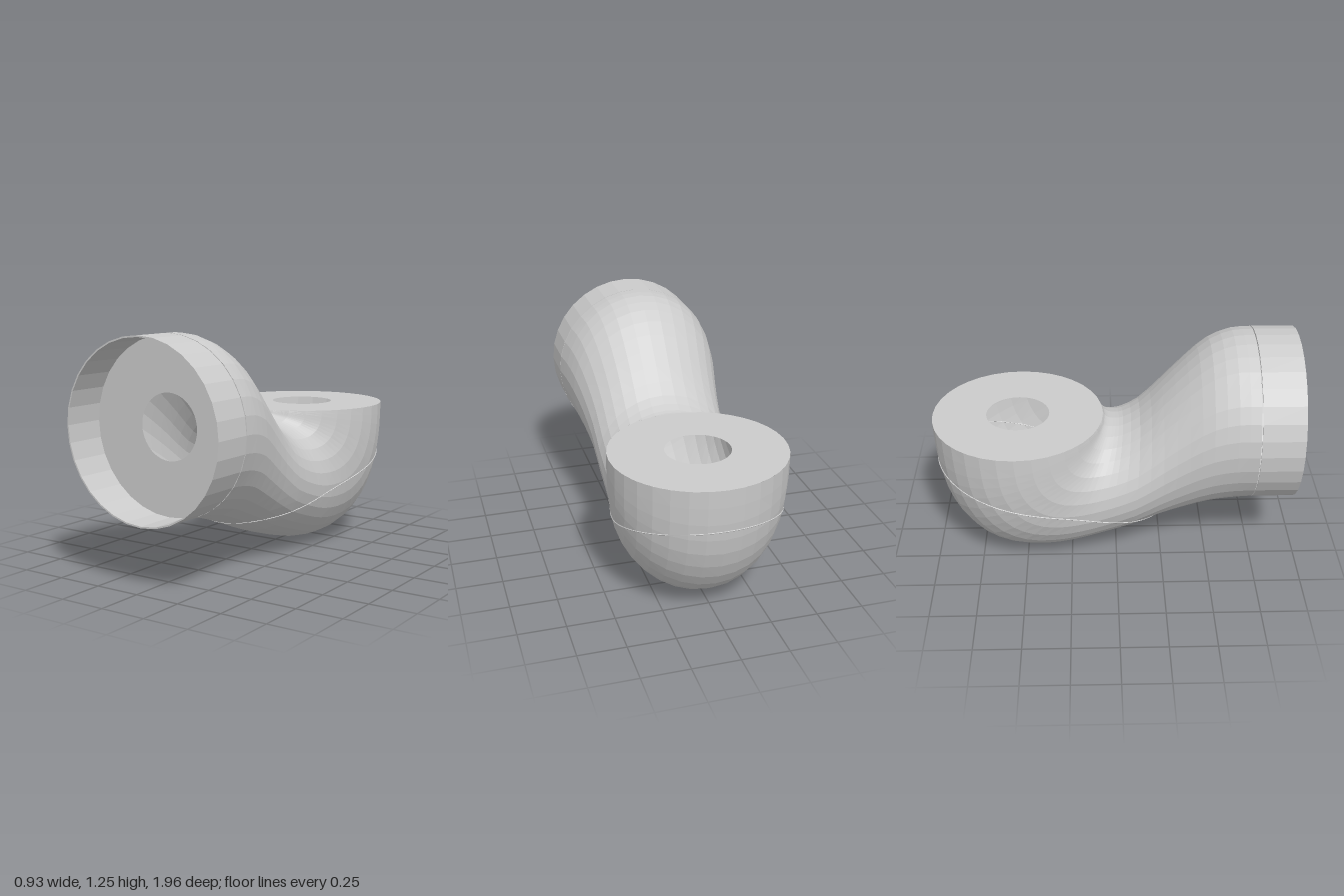
import * as THREE from 'three';

const SIDES = 32, STEPS = 28;
const mat = new THREE.MeshStandardMaterial({ color: 0xcccccc, flatShading: true, side: THREE.DoubleSide });

// Pipe sections: inner-bend z,y / outer-bend z,y / half width
const sections = [
  [0.73, 1.255, 0.73, 0.325, 0.465],
  [0.62, 1.25, 0.62, 0.31, 0.45],
  [0.5, 1.2, 0.5, 0.285, 0.43],
  [0.38, 1.09, 0.38, 0.245, 0.405],
  [0.25, 0.945, 0.24, 0.195, 0.385],
  [0.13, 0.815, 0.08, 0.13, 0.38],
  [0.04, 0.762, -0.1, 0.072, 0.38],
  [0, 0.755, -0.28, 0.02, 0.385],
  [-0.03, 0.757, -0.45, 0.003, 0.4],
  [-0.045, 0.763, -0.63, 0.03, 0.42],
  [-0.055, 0.77, -0.78, 0.115, 0.438],
  [-0.06, 0.775, -0.89, 0.25, 0.452],
  [-0.063, 0.78, -0.96, 0.42, 0.461],
  [-0.066, 0.785, -0.99, 0.6, 0.465],
  [-0.07, 0.79, -1, 0.79, 0.465],
];
const inner = new THREE.CatmullRomCurve3(sections.map(s => new THREE.Vector3(s[4], s[1], s[0])));
const outer = new THREE.CatmullRomCurve3(sections.map(s => new THREE.Vector3(s[4], s[3], s[2])));

// Point on the elbow skin: t runs along the pipe, a runs around it
function skin(t, a) {
  const top = inner.getPoint(t), bottom = outer.getPoint(t);
  const p = top.clone().add(bottom).multiplyScalar(0.5);
  const c = Math.cos(a);
  return new THREE.Vector3(
    top.x * Math.sin(a),
    p.y + (top.y - p.y) * c,
    p.z + (top.z - p.z) * c
  );
}

function elbowGeometry() {
  const pos = [], index = [];
  for (let i = 0; i <= STEPS; i++) {
    for (let j = 0; j < SIDES; j++) {
      pos.push(...skin(i / STEPS, (j / SIDES) * Math.PI * 2).toArray());
    }
  }
  for (let i = 0; i < STEPS; i++) {
    for (let j = 0; j < SIDES; j++) {
      const k = (j + 1) % SIDES;
      const a = i * SIDES + j, b = i * SIDES + k;
      index.push(a, b, a + SIDES, b, b + SIDES, a + SIDES);
    }
  }
  const g = new THREE.BufferGeometry();
  g.setAttribute('position', new THREE.Float32BufferAttribute(pos, 3));
  g.setIndex(index);
  g.computeVertexNormals();
  return g;
}

// Loop where the sloping parting plane meets the skin
function seamCurve() {
  const height = p => p.y - (0.215 + (0.3 - p.z) * 0.267);
  const front = [], back = [];
  for (let j = -20; j <= 20; j++) {
    const a = Math.PI + (j / 20) * 1.7;
    const hits = [];
    let last = skin(0, a);
    for (let i = 1; i <= 80; i++) {
      const p = skin(i / 80, a);
      const h0 = height(last), h1 = height(p);
      if (h0 * h1 < 0) hits.push(last.clone().lerp(p, h0 / (h0 - h1)));
      last = p;
    }
    if (hits.length > 1) {
      front.push(hits[0]);
      back.unshift(hits[hits.length - 1]);
    }
  }
  return new THREE.CatmullRomCurve3([...front, ...back], true);
}

export function createModel() {
  const group = new THREE.Group();
  const add = (name, geometry) => {
    const mesh = new THREE.Mesh(geometry, mat);
    mesh.name = name;
    group.add(mesh);
    return mesh;
  };

  add('elbowBody', elbowGeometry());
  add('partingSeam', new THREE.TubeGeometry(seamCurve(), 100, 0.003, 4, true));

  // Thin open collar around the front mouth
  const collar = add('frontCollar', new THREE.LatheGeometry([
    new THREE.Vector2(0.457, 0.735),
    new THREE.Vector2(0.465, 0.735),
    new THREE.Vector2(0.465, 0.96),
    new THREE.Vector2(0.457, 0.96),
    new THREE.Vector2(0.457, 0.735),
  ], SIDES));
  collar.rotation.x = Math.PI / 2;
  collar.position.y = 0.79;

  // Flat end plates with a central hole
  const plate = () => {
    const shape = new THREE.Shape().absarc(0, 0, 0.465, 0, Math.PI * 2);
    shape.holes.push(new THREE.Path().absarc(0, 0, 0.172, 0, Math.PI * 2, true));
    return new THREE.ShapeGeometry(shape, 18);
  };
  add('frontPlate', plate()).position.set(0, 0.79, 0.73);
  const topPlate = add('topPlate', plate());
  topPlate.rotation.x = -Math.PI / 2;
  topPlate.position.set(0, 0.79, -0.535);

  return group;
}
